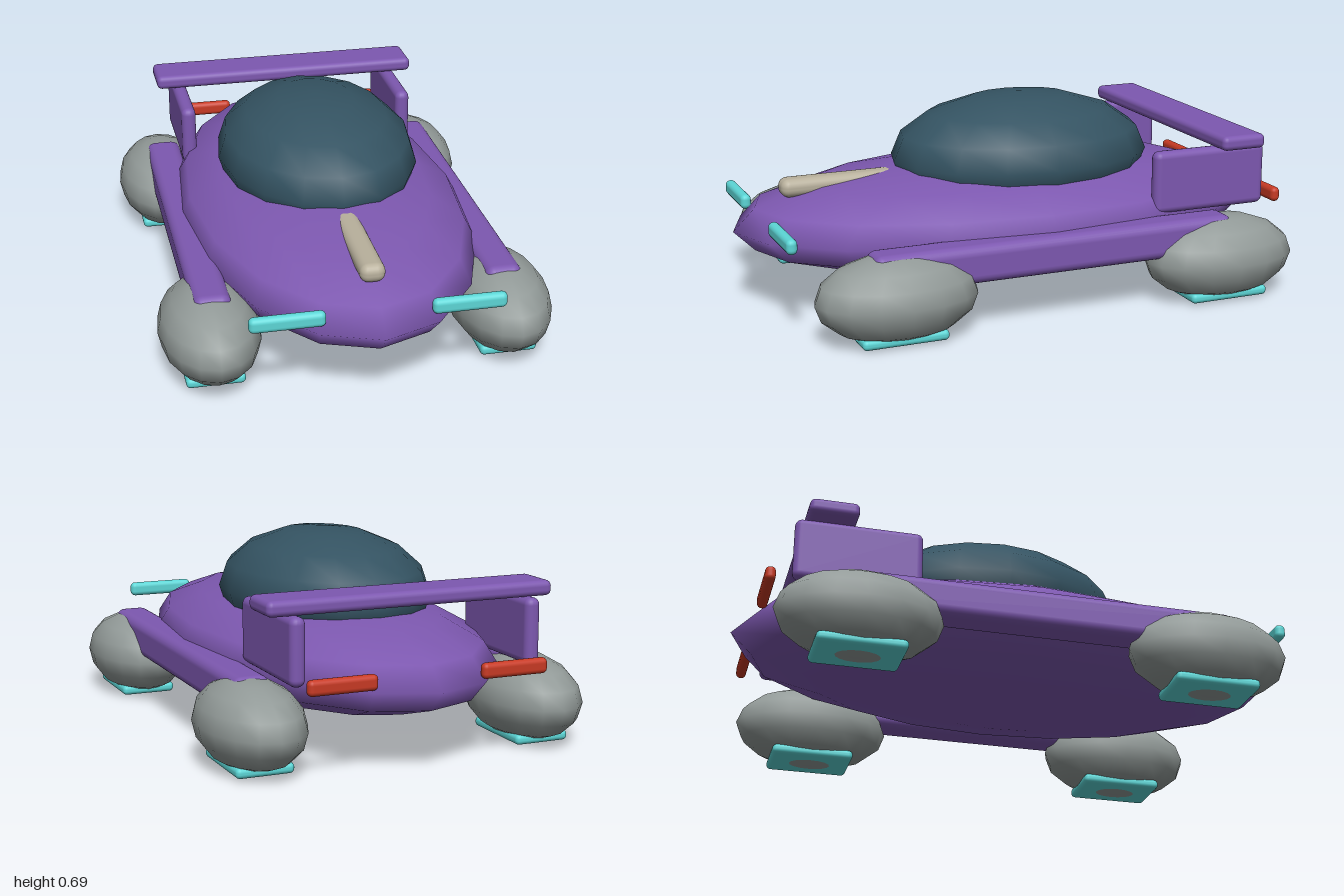
import * as THREE from 'three';
import { RoundedBoxGeometry } from 'three/addons/geometries/RoundedBoxGeometry.js';

const paint = (color) => new THREE.MeshStandardMaterial({ color });

export function createModel() {
  const purple = paint(0x7d58b0);
  const glass = paint(0x345362);
  const grey = paint(0x929a98);
  const cyan = paint(0x5cd6d6);
  const red = paint(0xc83a24);
  const beige = paint(0xb8b09c);

  const model = new THREE.Group();
  model.name = 'hoverCar';

  const add = (name, geometry, material, [x, y, z]) => {
    const mesh = new THREE.Mesh(geometry, material);
    mesh.name = name;
    mesh.position.set(x, y, z);
    model.add(mesh);
  };
  // Coarse smooth ellipsoid given by its three radii
  const ellipsoid = (name, material, [rx, ry, rz], position) =>
    add(name, new THREE.SphereGeometry(1, 16, 8).scale(rx, ry, rz), material, position);
  // Soft-edged box given by its full size
  const box = (name, material, [w, h, d], radius, position) =>
    add(name, new RoundedBoxGeometry(w, h, d, 3, radius), material, position);

  // Hull, canopy and nose blaster
  ellipsoid('hull', purple, [0.52, 0.195, 1], [0, 0.28, 0]);
  ellipsoid('canopy', glass, [0.36, 0.224, 0.485], [0, 0.47, -0.075]);
  box('noseBar', beige, [0.086, 0.066, 0.5], 0.03, [0, 0.42, 0.58]);

  // Rear wing
  box('wing', purple, [1.02, 0.052, 0.17], 0.02, [0, 0.548, -0.725]);

  for (const [side, s] of [['left', 1], ['right', -1]]) {
    // Sill joining the pods, and wing support
    box(side + 'Sill', purple, [0.13, 0.133, 1.33], 0.034, [s * 0.5, 0.237, 0.005]);
    box(side + 'WingSupport', purple, [0.054, 0.225, 0.44], 0.025, [s * 0.42, 0.413, -0.627]);

    // Lamps
    box(side + 'Headlamp', cyan, [0.25, 0.053, 0.038], 0.018, [s * 0.3, 0.33, 0.905]);
    box(side + 'Taillamp', red, [0.24, 0.053, 0.036], 0.017, [s * 0.305, 0.317, -0.917]);

    // Rounded pods with glowing pads underneath
    for (const [end, z] of [['Front', 0.58], ['Rear', -0.63]]) {
      ellipsoid(side + end + 'Pod', grey, [0.173, 0.15, 0.283], [s * 0.505, 0.15, z]);
      box(side + end + 'Pad', cyan, [0.2, 0.036, 0.3], 0.016, [s * 0.505, 0.026, z]);
    }
  }
  return model;
}
